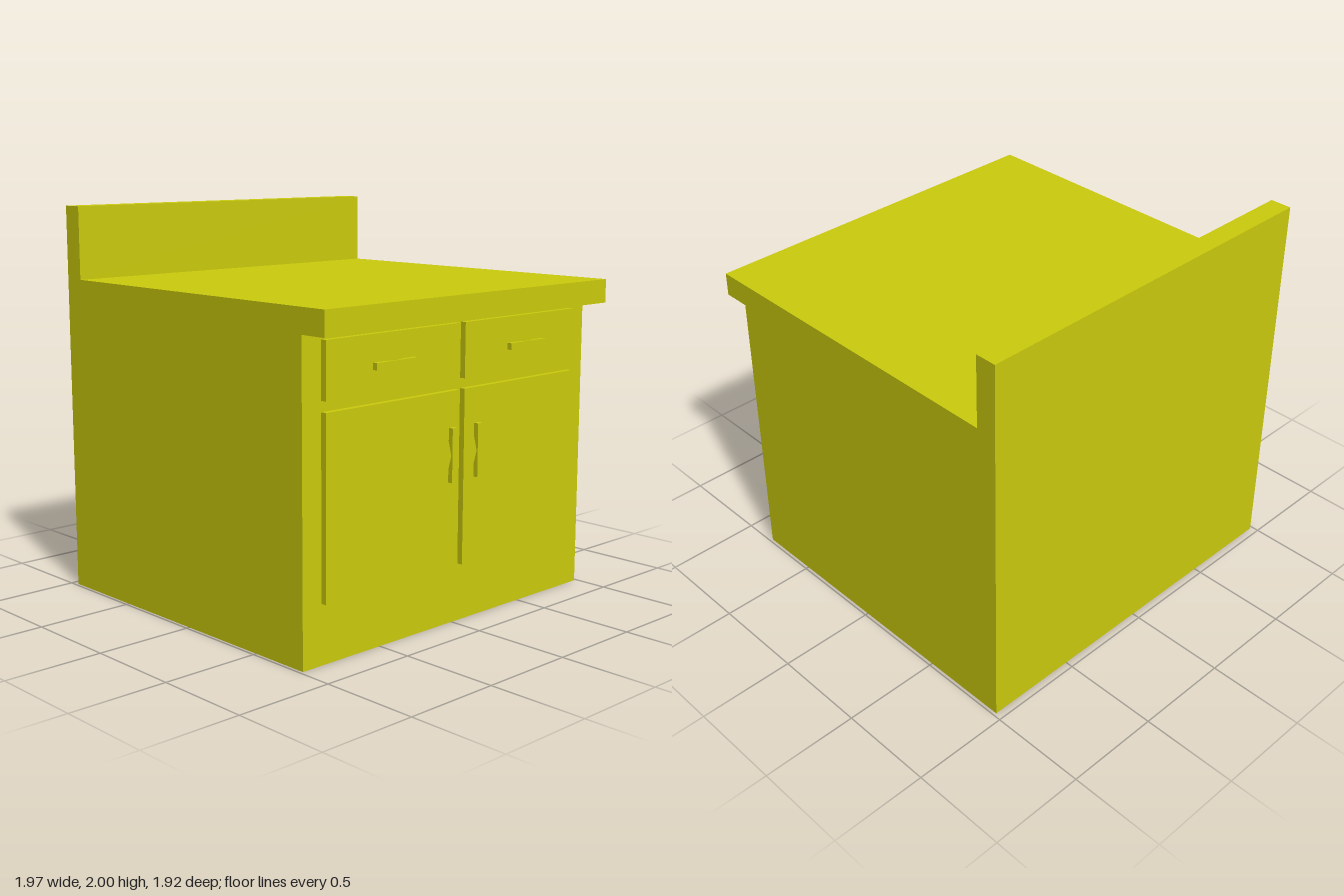
import * as THREE from 'three';

const WIDTH = 1.967;
const FACE_Z = 0.82;    // front of the carcass
const PANEL_Z = 0.85;   // front of the doors and drawers

const material = new THREE.MeshStandardMaterial({ color: 0xcccc0d, flatShading: true });

function addMesh(parent, name, geometry) {
  const mesh = new THREE.Mesh(geometry, material);
  mesh.name = name;
  parent.add(mesh);
  return mesh;
}

// Prism of a 2D outline, centred along its extrusion
function prism(points, depth) {
  const shape = new THREE.Shape(points.map(([a, b]) => new THREE.Vector2(a, b)));
  return new THREE.ExtrudeGeometry(shape, { depth, bevelEnabled: false }).translate(0, 0, -depth / 2);
}

// Raised front panel between two corners
function addPanel(parent, name, x0, x1, y0, y1) {
  const panel = addMesh(parent, name, new THREE.BoxGeometry(x1 - x0, y1 - y0, PANEL_Z - FACE_Z));
  panel.position.set((x0 + x1) / 2, (y0 + y1) / 2, (FACE_Z + PANEL_Z) / 2);
}

// Bar handle with a V-shaped finger recess at its back
function addHandle(parent, name, x, y, vertical) {
  const half = 0.133, notch = 0.068;
  const geometry = prism([
    [-half, 0], [-notch, 0], [0, 0.018], [notch, 0], [half, 0], [half, 0.025], [-half, 0.025],
  ], 0.033).rotateX(Math.PI / 2);
  if (vertical) geometry.rotateZ(Math.PI / 2);
  addMesh(parent, name, geometry).position.set(x, y, PANEL_Z);
}

export function createModel() {
  const model = new THREE.Group();
  model.name = 'kitchenCabinet';

  // Carcass, overhanging worktop and backsplash as one side profile (z, y)
  const body = prism([
    [-0.96, 0], [FACE_Z, 0], [FACE_Z, 1.51], [0.963, 1.51],
    [0.963, 1.63], [-0.85, 1.63], [-0.85, 2], [-0.96, 2],
  ], WIDTH).rotateY(-Math.PI / 2);
  addMesh(model, 'cabinetBody', body);

  // One column of drawer above door on each side
  const columns = [
    { side: 'right', x0: -0.87, x1: 0, drawerHandle: -0.45, doorHandle: -0.055 },
    { side: 'left', x0: 0.037, x1: 0.867, drawerHandle: 0.48, doorHandle: 0.127 },
  ];
  for (const { side, x0, x1, drawerHandle, doorHandle } of columns) {
    addPanel(model, `${side}Drawer`, x0, x1, 1.21, 1.48);
    addHandle(model, `${side}DrawerHandle`, drawerHandle, 1.335, false);
    addPanel(model, `${side}Door`, x0, x1, 0.29, 1.16);
    addHandle(model, `${side}DoorHandle`, doorHandle, 0.852, true);
  }
  return model;
}
